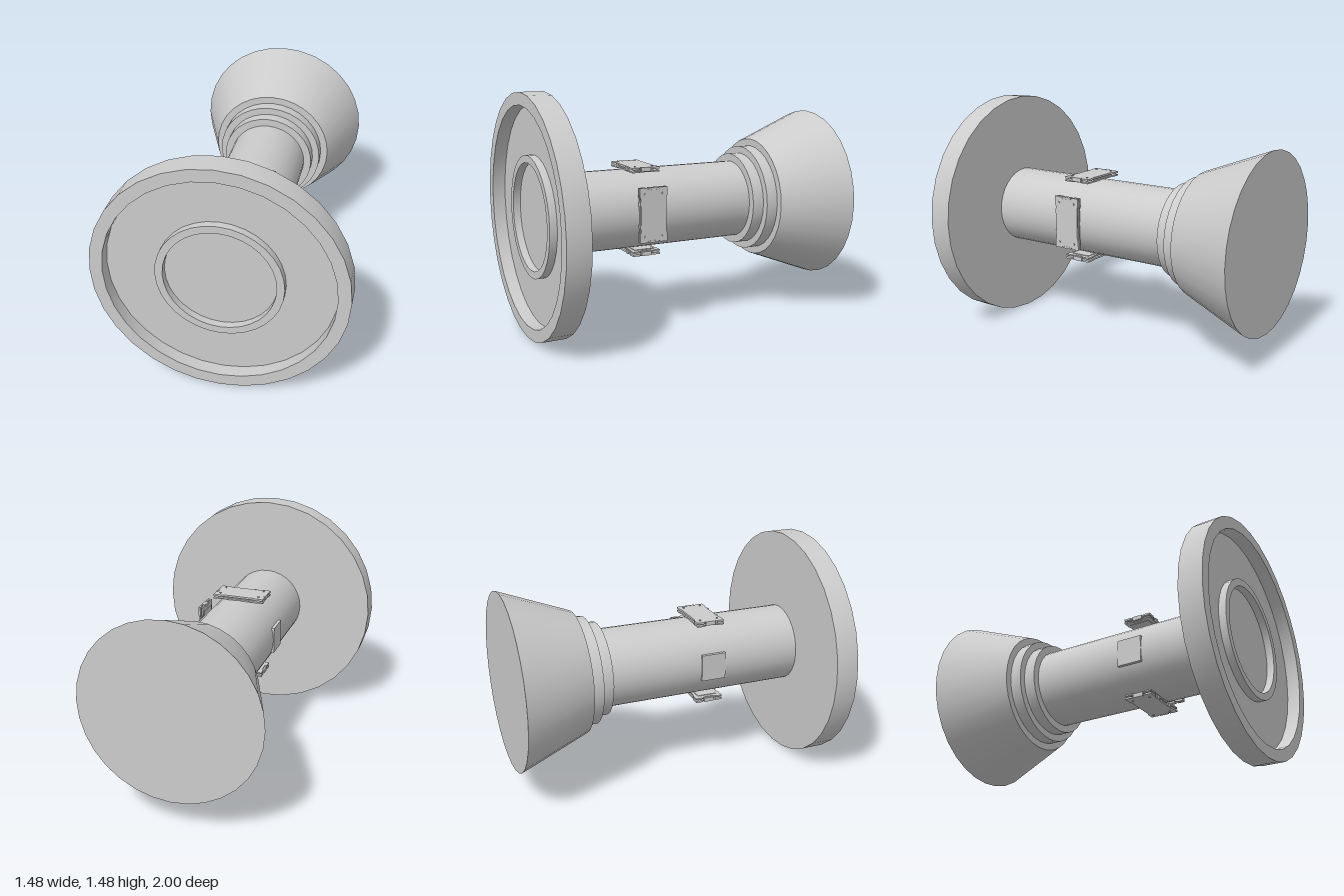
import * as THREE from 'three';
import { toCreasedNormals } from 'three/addons/utils/BufferGeometryUtils.js';

const SIDES = 32;
const AXIS_Y = 0.74;   // height of the long axis
const PLATE_Z = 0.278; // where the plates sit along the tube
const grey = new THREE.MeshStandardMaterial({ color: 0xcccccc });

function add(parent, name, geometry, x = 0, y = 0, z = 0) {
  const mesh = new THREE.Mesh(geometry, grey);
  mesh.name = name;
  mesh.position.set(x, y, z);
  parent.add(mesh);
  return mesh;
}

// Turned solid around the z axis; profile is [radius, z] from back to front
function turned(profile) {
  const points = profile.map(([r, z]) => new THREE.Vector2(r, z));
  const geometry = new THREE.LatheGeometry(points, SIDES).rotateX(Math.PI / 2);
  return toCreasedNormals(geometry, 0.5);
}

// Symmetric plate outline: wide ears at the ends, slight waist, notched ends
function plateShape(length, width) {
  const l = length / 2, w = width / 2;
  const quarter = [
    [l - 0.012, 0], [l - 0.012, 0.03], [l, 0.045], [l, w],
    [l - 0.05, w], [l - 0.07, w - 0.007], [0, w - 0.007],
  ];
  const half = [...quarter, ...quarter.slice(0, -1).reverse().map(([x, y]) => [-x, y])];
  const lower = half.slice(1, -1).reverse().map(([x, y]) => [x, -y]);
  return new THREE.Shape([...half, ...lower].map(([x, y]) => new THREE.Vector2(x, y)));
}

function extrude(shape, depth) {
  return new THREE.ExtrudeGeometry(shape, { depth, bevelEnabled: false });
}

// Plate lying in xy with its outer face towards +z; z is the distance from the axis
function createPlate() {
  const plate = new THREE.Group();
  add(plate, 'plateBase', extrude(plateShape(0.335, 0.18), 0.009), 0, 0, 0.244);
  add(plate, 'plateCore', new THREE.BoxGeometry(0.27, 0.13, 0.03), 0, 0, 0.255);
  add(plate, 'plateCover', extrude(plateShape(0.335, 0.18), 0.012), 0, 0, 0.262);

  for (const sx of [-1, 1]) {
    // Clips at both ends and along one long edge
    add(plate, 'endClip', new THREE.BoxGeometry(0.012, 0.065, 0.026), sx * 0.162, 0, 0.262);
    add(plate, 'edgeClip', new THREE.BoxGeometry(0.028, 0.01, 0.026), sx * 0.07, -0.084, 0.262);
    // Corner bolts
    for (const sy of [-1, 1]) {
      const bolt = new THREE.CylinderGeometry(0.006, 0.006, 0.01, 8).rotateX(Math.PI / 2);
      add(plate, 'bolt', bolt, sx * 0.13, sy * 0.058, 0.276);
    }
  }
  plate.rotation.x = -Math.PI / 2;
  return plate;
}

export function createModel() {
  const model = new THREE.Group();
  model.name = 'flangedHorn';
  const body = new THREE.Group();
  body.name = 'body';
  body.position.y = AXIS_Y;
  model.add(body);

  // Closed flaring horn at the back
  add(body, 'horn', turned([[0, -1], [0.555, -1], [0.385, -0.56], [0, -0.56]]));

  // Stepped collars and tube
  add(body, 'collars', turned([
    [0.34, -0.56], [0.34, -0.485], [0.295, -0.485], [0.295, -0.41], [0.24, -0.41],
  ]));
  add(body, 'tube', turned([[0.247, -0.42], [0.247, 0.86]]));

  // Front disc with a recessed face, outer rim and raised inner ring
  add(body, 'frontDisc', turned([
    [0, 0.855], [0.74, 0.855], [0.74, 1], [0.665, 1], [0.665, 0.92],
    [0.37, 0.92], [0.37, 0.965], [0.325, 0.965], [0.325, 0.92], [0, 0.92],
  ]));

  // Plates on the top, left and bottom of the tube
  const places = { topPlate: 0, leftPlate: -Math.PI / 2, bottomPlate: Math.PI };
  for (const [name, angle] of Object.entries(places)) {
    const pivot = new THREE.Group();
    pivot.name = name;
    pivot.position.z = PLATE_Z;
    pivot.rotation.z = angle;
    pivot.add(createPlate());
    body.add(pivot);
  }

  // Nearly flush panel on the right of the tube
  add(body, 'rightPanel', new THREE.BoxGeometry(0.03, 0.17, 0.16), -0.236, 0, 0.267);

  return model;
}
